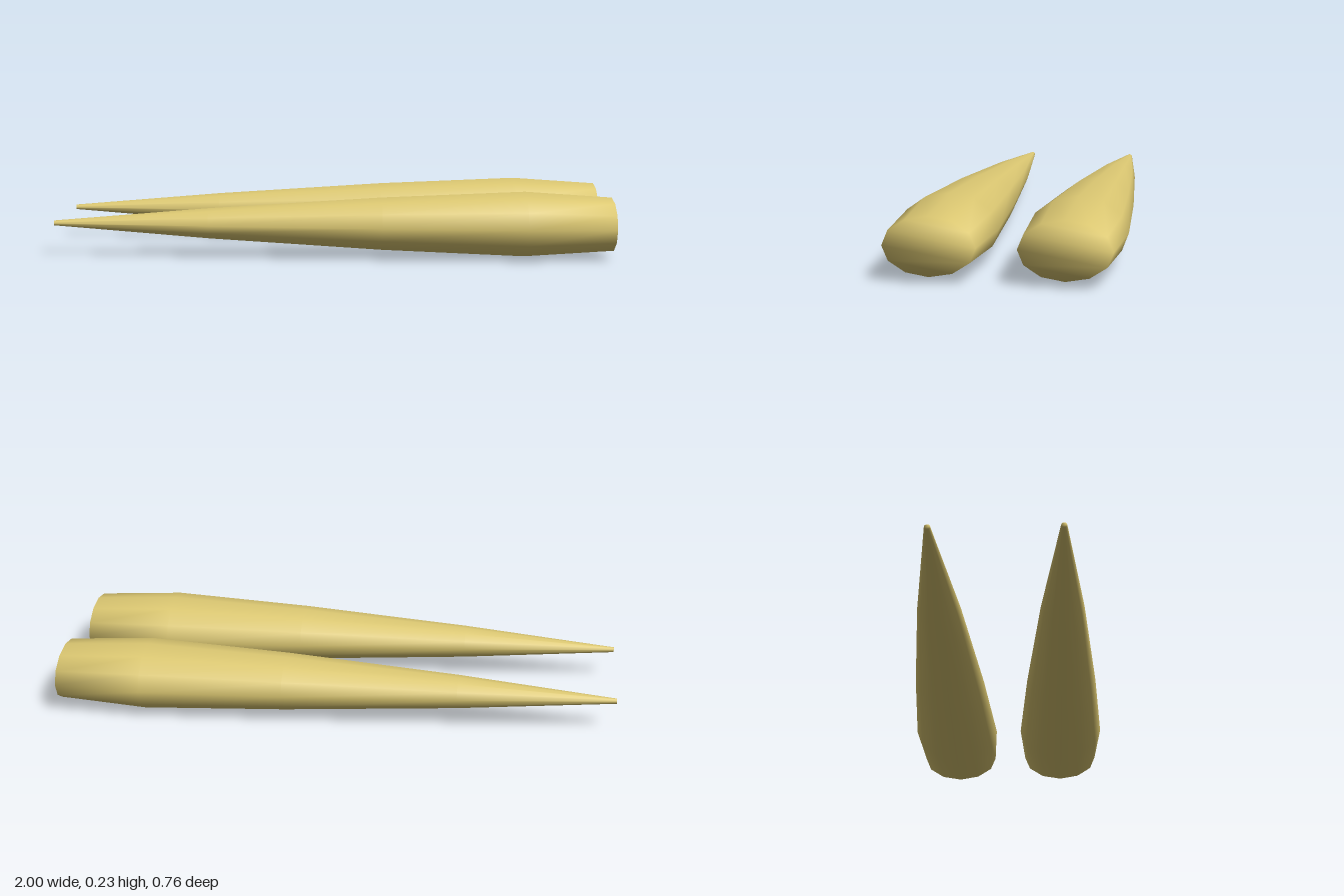
import * as THREE from 'three';

const SIDES = 12;

// Cross-sections along the spike: x, half height, half depth
const SECTIONS = [
  [-1, 0.009, 0.010],
  [-0.44, 0.055, 0.076],
  [0.18, 0.095, 0.131],
  [0.69, 0.117, 0.165],
  [1, 0.0965, 0.150],
];

// Closed, smooth-shaded loft through elliptical rings
function spikeGeometry() {
  const positions = [];
  const index = [];

  for (const [x, height, depth] of SECTIONS) {
    for (let i = 0; i < SIDES; i++) {
      const a = (i / SIDES) * Math.PI * 2;
      positions.push(x, Math.cos(a) * height, Math.sin(a) * depth);
    }
  }

  // Side walls
  for (let s = 0; s < SECTIONS.length - 1; s++) {
    for (let i = 0; i < SIDES; i++) {
      const j = (i + 1) % SIDES;
      const a = s * SIDES + i, b = s * SIDES + j;
      const c = a + SIDES, d = b + SIDES;
      index.push(a, b, c, b, d, c);
    }
  }

  // End caps, filled with a zigzag strip
  const last = (SECTIONS.length - 1) * SIDES;
  const cap = (a, b, c) => {
    index.push(last + a, last + b, last + c); // wide end
    index.push(a, c, b); // tip
  };
  let low = 0, high = SIDES - 1;
  while (high - low > 1) {
    cap(low, low + 1, high);
    low++;
    if (high - low > 1) {
      cap(low, high - 1, high);
      high--;
    }
  }

  const geometry = new THREE.BufferGeometry();
  geometry.setAttribute('position', new THREE.Float32BufferAttribute(positions, 3));
  geometry.setIndex(index);
  geometry.computeVertexNormals();
  return geometry;
}

export function createModel() {
  const model = new THREE.Group();
  model.name = 'spikePair';

  const straw = new THREE.MeshStandardMaterial({ color: 0xdcc872 });
  straw.name = 'straw yellow';

  // Two identical spikes lying side by side
  const geometry = spikeGeometry();
  for (const [name, z] of [['frontSpike', 0.2145], ['backSpike', -0.2145]]) {
    const spike = new THREE.Mesh(geometry, straw);
    spike.name = name;
    spike.position.set(0, 0.118, z);
    model.add(spike);
  }
  return model;
}
